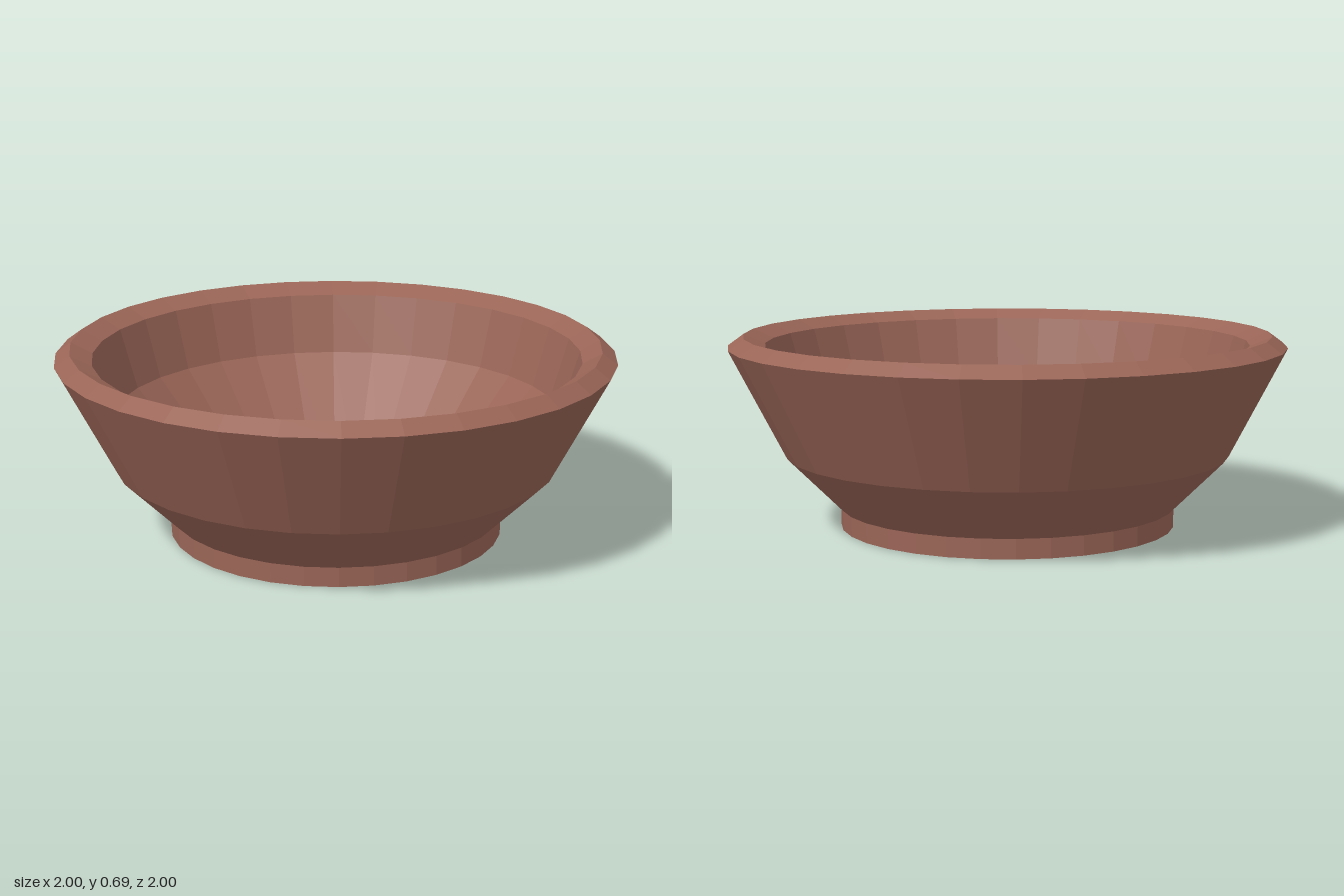
import * as THREE from 'three';

const SEGMENTS = 32;

export function createModel() {
  const clay = new THREE.MeshStandardMaterial({ color: 0x9a6557, flatShading: true });
  clay.name = 'brown clay';

  const bowl = new THREE.Group();
  bowl.name = 'bowl';

  // Turn a profile of [radius, height, z offset] rings into a faceted surface.
  function turned(name, rings) {
    const points = rings.map(([r, y]) => new THREE.Vector2(r, y));
    const geometry = new THREE.LatheGeometry(points, SEGMENTS);
    const pos = geometry.attributes.position;
    for (let i = 0; i < pos.count; i++) {
      pos.setZ(i, pos.getZ(i) + (rings[i % rings.length][2] ?? 0));
    }
    const flat = geometry.toNonIndexed();
    flat.computeVertexNormals();
    const mesh = new THREE.Mesh(flat, clay);
    mesh.name = name;
    bowl.add(mesh);
  }

  // Flat underside and short upright foot
  turned('foot', [[0, 0], [0.605, 0], [0.605, 0.07]]);

  // Outer wall, steeper above the bend
  turned('outerWall', [[0.605, 0.07], [0.8, 0.265], [1, 0.655]]);

  // Lip bevelled outwards and inwards; the hollow sits slightly forward
  turned('rim', [[1, 0.655], [0.945, 0.695], [0.87, 0.66, 0.02]]);

  // Hollow with a bend in its wall and a flat floor
  turned('hollow', [
    [0.87, 0.66, 0.02],
    [0.805, 0.44, 0.022],
    [0.442, 0.05, 0.022],
    [0, 0.05, 0.022],
  ]);

  return bowl;
}
